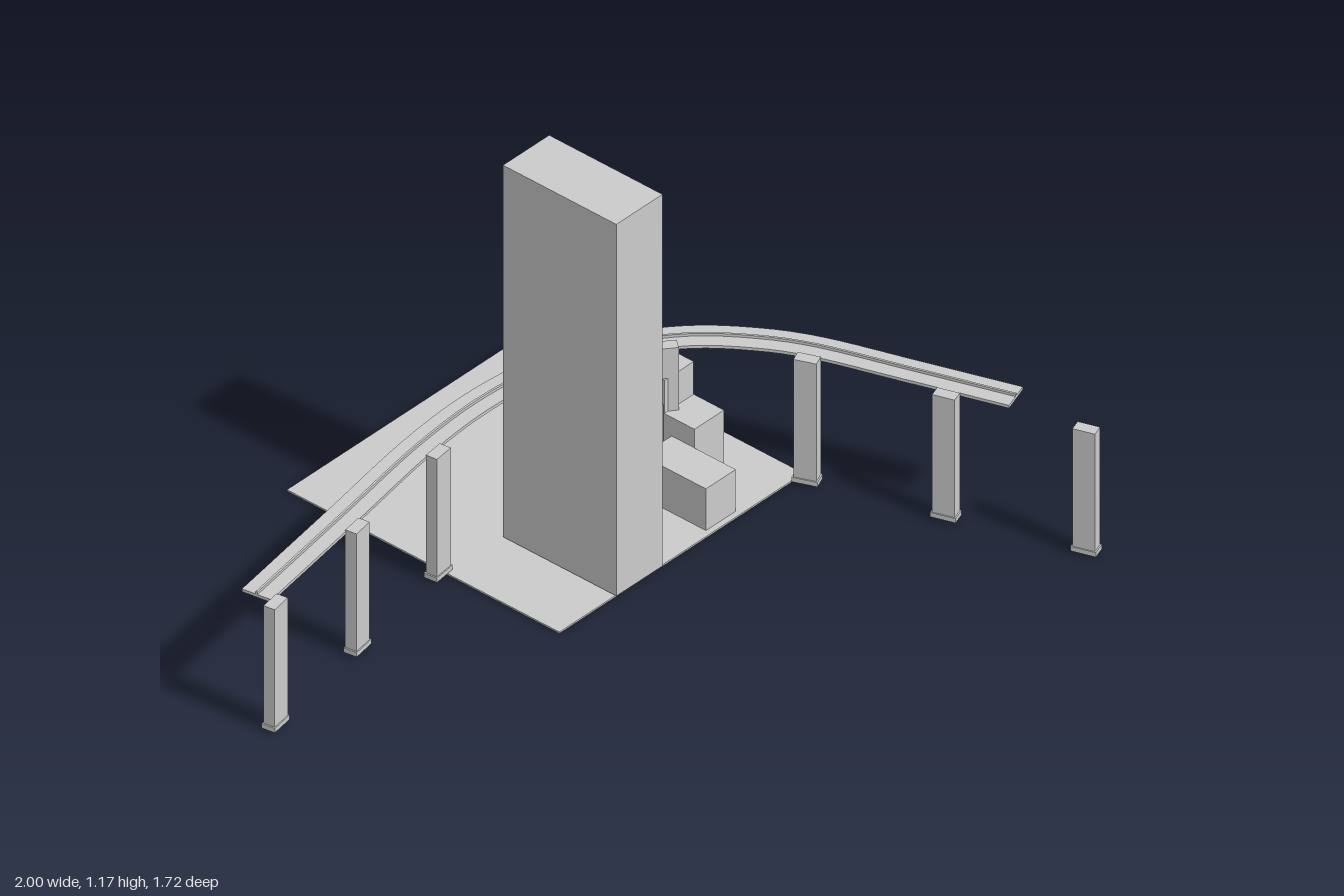
import * as THREE from 'three';

const mat = new THREE.MeshStandardMaterial({ color: 0xcccccc, flatShading: true });

// Box given by its x, y and z ranges
function block(name, x0, x1, y0, y1, z0, z1) {
  const mesh = new THREE.Mesh(new THREE.BoxGeometry(x1 - x0, y1 - y0, z1 - z0), mat);
  mesh.position.set((x0 + x1) / 2, (y0 + y1) / 2, (z0 + z1) / 2);
  mesh.name = name;
  return mesh;
}

// Plan outline of [x, z] points raised from y0 to y1
function prism(name, points, y0, y1) {
  const shape = new THREE.Shape(points.map(([x, z]) => new THREE.Vector2(x, -z)));
  const geo = new THREE.ExtrudeGeometry(shape, { depth: y1 - y0, bevelEnabled: false });
  geo.rotateX(-Math.PI / 2).translate(0, y0, 0);
  const mesh = new THREE.Mesh(geo, mat);
  mesh.name = name;
  return mesh;
}

// Strip of constant width following a plan curve
function strip(name, curve, width, y0, y1) {
  const left = [], right = [], n = 60;
  for (let i = 0; i <= n; i++) {
    const p = curve.getPointAt(i / n), t = curve.getTangentAt(i / n);
    const dx = -t.y * width / 2, dz = t.x * width / 2;
    left.push([p.x + dx, p.y + dz]);
    right.unshift([p.x - dx, p.y - dz]);
  }
  return prism(name, left.concat(right), y0, y1);
}

// Direction of the curve at the point nearest to x, z
function tangentNear(curve, x, z) {
  let best = 0, bestDist = Infinity;
  for (let i = 0; i <= 200; i++) {
    const p = curve.getPointAt(i / 200), d = Math.hypot(p.x - x, p.y - z);
    if (d < bestDist) { bestDist = d; best = i / 200; }
  }
  return curve.getTangentAt(best);
}

export function createModel() {
  const model = new THREE.Group();
  model.name = 'elevatedTrackAndTower';

  // Ground plot and main tower
  model.add(block('ground', -0.185, 0.74, 0, 0.005, -0.865, 0.06));
  model.add(block('tower', 0.02, 0.195, 0.012, 1.17, -0.315, 0.07));

  // Cluster of small buildings
  model.add(block('lowBuilding', 0.39, 0.503, 0.004, 0.135, -0.175, 0.043));
  model.add(block('middleBuilding', 0.503, 0.615, 0.004, 0.193, -0.2, -0.097));
  model.add(block('tallBuilding', 0.505, 0.615, 0.004, 0.295, -0.305, -0.2));
  model.add(prism('chamferedBuilding', [
    [0.385, -0.2], [0.5, -0.2], [0.5, -0.3], [0.432, -0.3], [0.385, -0.255],
  ], 0.004, 0.223));

  // One-sided panel facing the back
  const panel = new THREE.Mesh(new THREE.PlaneGeometry(0.13, 0.06), mat);
  panel.position.set(0.275, 0.034, -0.33);
  panel.rotation.y = Math.PI;
  panel.name = 'rearPanel';
  model.add(panel);

  // Curved elevated deck with a thin centre rail
  const curve = new THREE.CatmullRomCurve3([
    [-0.967, -0.268], [-0.58, -0.332], [-0.2, -0.395], [0.03, -0.41], [0.22, -0.392],
    [0.42, -0.327], [0.6, -0.2], [0.71, -0.06], [0.772, 0.055], [0.864, 0.32], [0.955, 0.59],
  ].map(([x, z]) => new THREE.Vector3(x, z, 0)));
  model.add(strip('deck', curve, 0.088, 0.375, 0.384));
  model.add(strip('centreRail', curve, 0.006, 0.384, 0.392));

  // Pillars along the inner side of the curve
  const spots = [[-0.963, -0.207], [-0.58, -0.272], [-0.203, -0.335], [0.172, -0.342],
    [0.525, -0.215], [0.721, 0.09], [0.84, 0.455], [0.967, 0.818]];
  for (const [x, z] of spots) {
    const t = tangentNear(curve, x, z);
    const pillar = new THREE.Group();
    pillar.name = 'pillar';
    pillar.add(block('pillarColumn', -0.031, 0.031, 0.01, 0.388, -0.017, 0.017));
    pillar.add(block('pillarFoot', -0.035, 0.035, 0.008, 0.022, -0.02, 0.02));
    pillar.position.set(x, 0, z);
    pillar.rotation.y = Math.atan2(-t.y, t.x);
    model.add(pillar);
  }
  return model;
}
